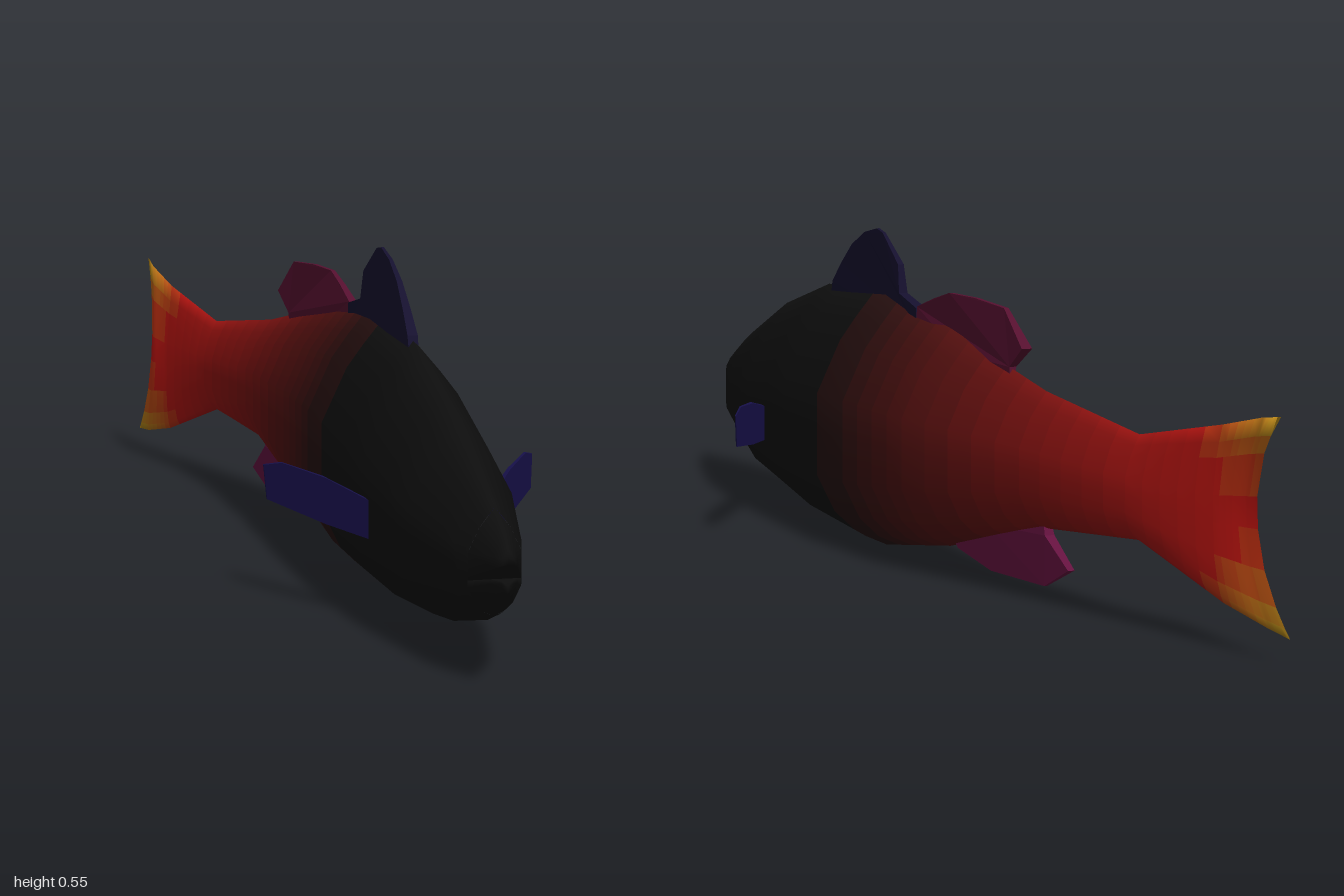
import * as THREE from 'three';

// Body stations, nose to tail: z, centre x, half width, bottom, top, tail fork depth, tail lean
const STATIONS = [
  [0.92, 0, 0.04, 0.1, 0.262, 0, 0],
  [0.88, 0, 0.051, 0.085, 0.279, 0, 0],
  [0.67, 0, 0.09, 0.035, 0.36, 0, 0],
  [0.43, 0, 0.106, 0.008, 0.422, 0, 0],
  [0.14, -0.003, 0.106, 0, 0.437, 0, 0],
  [-0.12, -0.022, 0.087, 0.042, 0.407, 0, 0],
  [-0.41, -0.074, 0.047, 0.118, 0.339, 0, 0],
  [-0.65, -0.13, 0.024, 0.137, 0.302, 0, 0],
  [-0.84, -0.184, 0.01, 0.07, 0.342, 0.015, 0.005],
  [-0.94, -0.206, 0.006, 0.049, 0.366, 0.06, 0.012],
  [-1.0, -0.21, 0.0005, 0.043, 0.375, 0.095, 0.02],
];

// Half cross-sections, bottom to top: [height fraction, width fraction]
const BODY = [[0, 0], [0.04, 0.36], [0.12, 0.7], [0.27, 1], [0.45, 1], [0.6, 1], [0.81, 0.6], [0.9, 0.33], [1, 0]];
const UPPER_JAW = [[0, 0], [0, 1], [0.39, 1], [0.71, 0.6], [1, 0]];
const LOWER_JAW = [[0, 0], [0.12, 0.36], [0.35, 0.7], [0.79, 1], [1, 1], [1, 0]];

const BLACK = new THREE.Color(0x0e0e0e);
const RED = new THREE.Color(0xc01410);
const GOLD = new THREE.Color(0xb88a18);

function material(color) {
  return new THREE.MeshStandardMaterial({ color });
}

function subdivide(rows, n) {
  const out = [];
  for (let i = 0; i < rows.length - 1; i++) {
    for (let k = 0; k < n; k++) {
      out.push(rows[i].map((v, c) => v + (rows[i + 1][c] - v) * k / n));
    }
  }
  out.push(rows[rows.length - 1]);
  return out;
}

// Centre line of the bent body
function spineX(z) {
  for (let i = 0; i < STATIONS.length - 1; i++) {
    const a = STATIONS[i], b = STATIONS[i + 1];
    if (z <= a[0] && z >= b[0]) return a[1] + (b[1] - a[1]) * (z - a[0]) / (b[0] - a[0]);
  }
  return 0;
}

// Black head fading to a red tail with golden tips, in small steps
function skinColor(z, t) {
  const fade = THREE.MathUtils.clamp((0.4 - z) / 1.3, 0, 1) ** 2.2;
  const tip = THREE.MathUtils.clamp((-0.8 - z) / 0.17, 0, 1) * Math.min(1, Math.abs(2 * t - 1) ** 2 * 1.2);
  const a = Math.round(fade * 40) / 40, b = Math.round(tip * 12) / 12;
  return { key: a + '/' + b, color: BLACK.clone().lerp(RED, a).lerp(GOLD, b) };
}

// Skin a run of mirrored cross-sections, front to back
function loft(name, stations, half, capFront) {
  const inner = half.slice(1, -1).reverse().map(([t, w]) => [t, -w]);
  const ring = [...half, ...inner];
  const n = ring.length;
  const pos = [];
  for (const [z, cx, hw, y0, y1, fork, lean] of stations) {
    for (const [t, w] of ring) {
      const notch = fork * (1 - Math.abs(2 * t - 1) ** 2.2);
      pos.push(cx + w * hw + lean * (t - 0.5), y0 + (y1 - y0) * t, z + notch);
    }
  }
  const buckets = new Map();
  const add = (z, t, ...ids) => {
    const { key, color } = skinColor(z, t);
    if (!buckets.has(key)) buckets.set(key, { color, ids: [] });
    buckets.get(key).ids.push(...ids);
  };
  for (let i = 0; i < stations.length - 1; i++) {
    for (let j = 0; j < n; j++) {
      const k = (j + 1) % n;
      const a = i * n + j, b = i * n + k, d = a + n, c = b + n;
      const z = (pos[a * 3 + 2] + pos[c * 3 + 2]) / 2;
      add(z, (ring[j][0] + ring[k][0]) / 2, a, d, b, b, d, c);
    }
  }
  if (capFront) {
    const [z, cx, , y0, y1] = stations[0];
    const centre = pos.length / 3;
    pos.push(cx, (y0 + y1) / 2, z);
    for (let j = 0; j < n; j++) add(z, 0.5, centre, j, (j + 1) % n);
  }
  const geo = new THREE.BufferGeometry();
  geo.setAttribute('position', new THREE.Float32BufferAttribute(pos, 3));
  const index = [], mats = [];
  for (const { color, ids } of buckets.values()) {
    geo.addGroup(index.length, ids.length, mats.length);
    mats.push(material(color));
    index.push(...ids);
  }
  geo.setIndex(index);
  geo.computeVertexNormals();
  const mesh = new THREE.Mesh(geo, mats);
  mesh.name = name;
  return mesh;
}

// Thin plate from an outline; place() maps (u, v, side -1..1) into the model
function fin(name, color, outline, place) {
  const shape = new THREE.Shape(outline.map(([u, v]) => new THREE.Vector2(u, v)));
  const geo = new THREE.ExtrudeGeometry(shape, { depth: 2, bevelEnabled: false });
  const p = geo.attributes.position;
  for (let i = 0; i < p.count; i++) p.setXYZ(i, ...place(p.getX(i), p.getY(i), p.getZ(i) - 1));
  geo.computeVertexNormals();
  const mesh = new THREE.Mesh(geo, material(color));
  mesh.name = name;
  return mesh;
}

// Upright fin along the spine, outline given as [z, y], thinning away from its base
function medianFin(name, color, baseY, height, points) {
  return fin(name, color, points.map(([z, y]) => [-z, y]), (u, y, s) => {
    const reach = Math.min(1, Math.abs(y - baseY) / height);
    return [spineX(-u) + s * 0.009 * (1 - 0.75 * reach), y, -u];
  });
}

export function createModel() {
  const model = new THREE.Group();
  model.name = 'fish';

  // Body with forked tail
  model.add(loft('bodyAndTail', subdivide(STATIONS, 5), BODY, false));

  // Jaws, parted in front
  model.add(loft('upperJaw', [
    [1.0, 0, 0.009, 0.193, 0.214, 0, 0],
    [0.985, 0, 0.018, 0.186, 0.23, 0, 0],
    [0.92, 0, 0.04, 0.155, 0.262, 0, 0],
  ], UPPER_JAW, true));
  model.add(loft('lowerJaw', [
    [0.998, 0, 0.009, 0.15, 0.17, 0, 0],
    [0.975, 0, 0.02, 0.133, 0.168, 0, 0],
    [0.92, 0, 0.04, 0.1, 0.155, 0, 0],
  ], LOWER_JAW, true));

  // Fins on the back and belly
  model.add(medianFin('frontDorsalFin', 0x15102e, 0.42, 0.13, [
    [0.4, 0.4], [0.39, 0.432], [0.35, 0.468], [0.3, 0.506], [0.24, 0.533], [0.18, 0.545],
    [0.15, 0.54], [0.08, 0.493], [0.07, 0.445], [0.0, 0.428], [0.0, 0.39],
  ]));
  model.add(medianFin('rearDorsalFin', 0x55102f, 0.4, 0.08, [
    [0.0, 0.39], [0.0, 0.43], [-0.06, 0.45], [-0.12, 0.466], [-0.2, 0.466], [-0.29, 0.459],
    [-0.352, 0.4], [-0.31, 0.366], [-0.31, 0.34], [-0.15, 0.37],
  ]));
  model.add(medianFin('analFin', 0x64123f, 0.1, 0.08, [
    [-0.13, 0.07], [-0.15, 0.044], [-0.25, 0.022], [-0.41, 0.024], [-0.478, 0.06],
    [-0.42, 0.108], [-0.41, 0.14], [-0.25, 0.1],
  ]));

  // Paired side fins, swept back
  for (const side of [1, -1]) {
    const pectoral = fin(side > 0 ? 'leftPectoralFin' : 'rightPectoralFin', 0x17104a, [
      [0.095, 0.135], [0.15, 0.143], [0.218, 0.16], [0.222, 0.215], [0.2, 0.225], [0.15, 0.217], [0.095, 0.195],
    ], (x, y, s) => [x, y, 0.5 - (x - 0.105) * 1.8 + s * 0.012 * (1 - 0.75 * (x - 0.095) / 0.127)]);
    pectoral.scale.x = side;
    model.add(pectoral);
  }
  return model;
}
